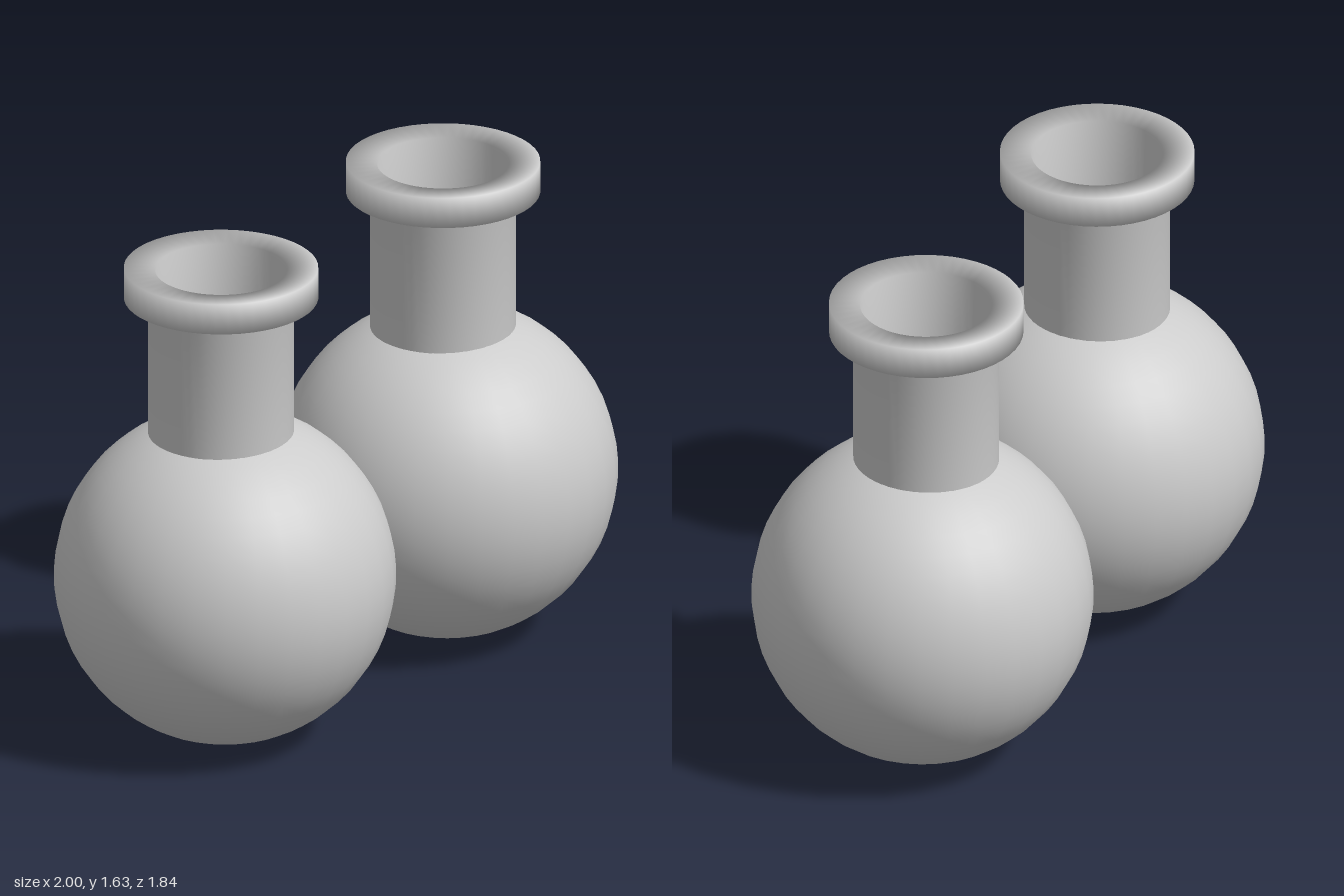
import * as THREE from 'three';

const RADIUS = 0.556;      // round body
const NECK_OUT = 0.237, NECK_IN = 0.215, RIM_OUT = 0.316;
const NECK_BOTTOM = 1.055, RIM_BOTTOM = 1.53, TOP = 1.635;

const material = new THREE.MeshStandardMaterial({ color: 0xcccccc, side: THREE.DoubleSide });

function part(name, geometry) {
  const mesh = new THREE.Mesh(geometry, material);
  mesh.name = name;
  return mesh;
}

function createFlask(name) {
  const flask = new THREE.Group();
  flask.name = name;

  // Round body, open at the top where the neck enters
  const opening = Math.asin(NECK_IN / RADIUS);
  const body = part('body', new THREE.SphereGeometry(RADIUS, 32, 24, 0, Math.PI * 2, opening, Math.PI - opening));
  body.position.y = RADIUS;

  // Hollow neck and wide lip, one softly shaded turned profile
  const profile = [
    [NECK_IN, NECK_BOTTOM],
    [NECK_OUT, NECK_BOTTOM],
    [NECK_OUT, RIM_BOTTOM],
    [RIM_OUT, RIM_BOTTOM],
    [RIM_OUT, TOP],
    [NECK_IN, TOP - 0.008],
    [NECK_IN, NECK_BOTTOM],
  ].map(([r, y]) => new THREE.Vector2(r, y));
  const neck = part('neckAndLip', new THREE.LatheGeometry(profile, 48));
  neck.position.x = -0.013;

  flask.add(body, neck);
  return flask;
}

export function createModel() {
  const model = new THREE.Group();
  model.name = 'flaskPair';
  // Two equal flasks set diagonally
  for (const side of [-1, 1]) {
    const flask = createFlask(side < 0 ? 'rightFlask' : 'leftFlask');
    flask.position.set(side * 0.444, 0, side * -0.365);
    model.add(flask);
  }
  return model;
}
